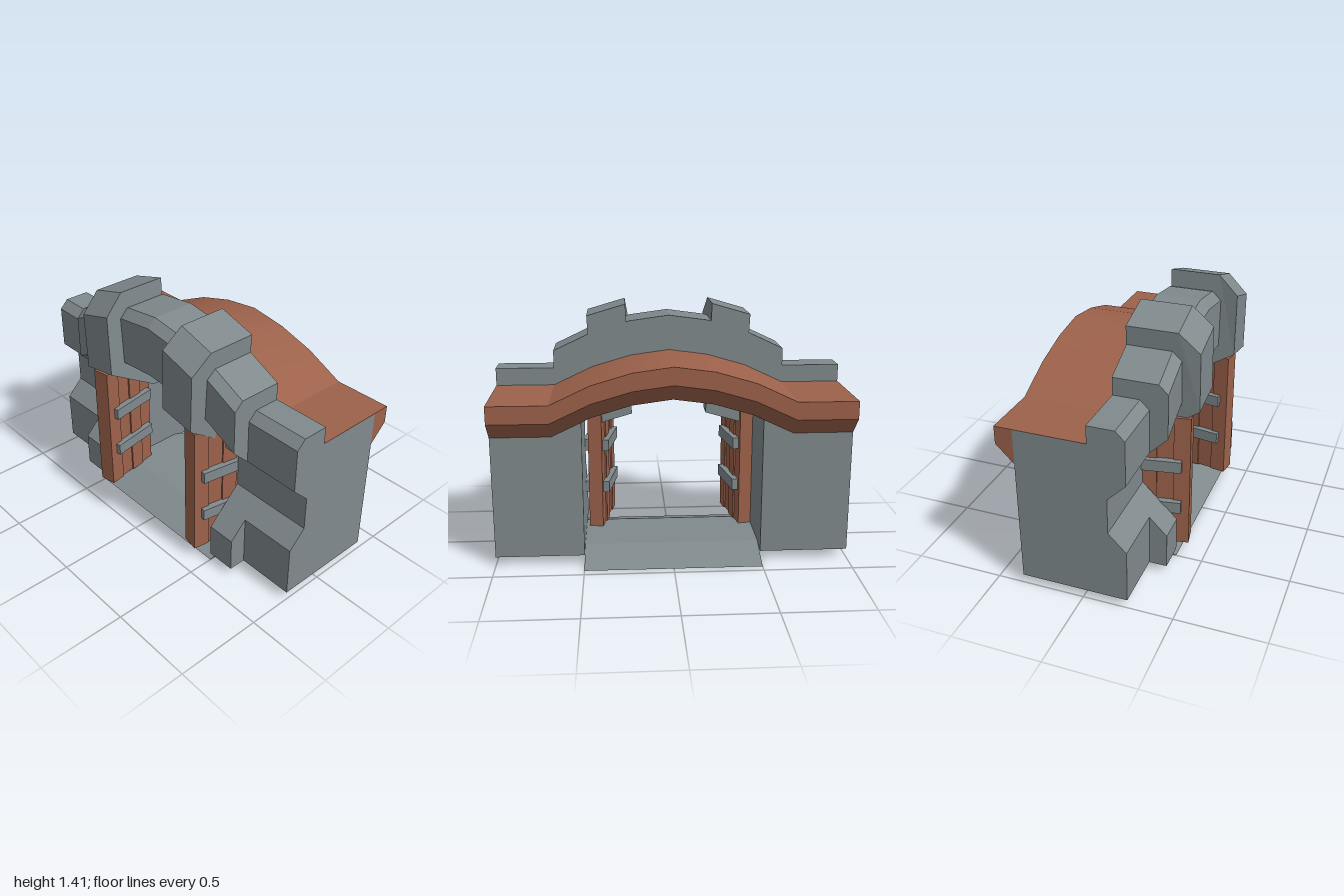
import * as THREE from 'three';
import { toCreasedNormals } from 'three/addons/utils/BufferGeometryUtils.js';

const stone = new THREE.MeshStandardMaterial({ color: 0x808a8d });
stone.name = 'grey stone';
const wood = new THREE.MeshStandardMaterial({ color: 0x9d624b });
wood.name = 'red brown wood';

// Skin closed sections ([x, y, z] points) ordered by rising x, with end caps
function loft(sections, crease = 0.1) {
  const flat = sections[0].map(([, y, z]) => new THREE.Vector2(z, y));
  if (THREE.ShapeUtils.area(flat) < 0) {
    sections = sections.map((s) => [...s].reverse());
    flat.reverse();
  }
  const pos = [];
  const tri = (...pts) => pts.forEach((p) => pos.push(...p));
  for (let i = 0; i < sections.length - 1; i++) {
    const s = sections[i], t = sections[i + 1];
    for (let j = 0; j < s.length; j++) {
      const k = (j + 1) % s.length;
      tri(s[j], t[j], t[k]);
      tri(s[j], t[k], s[k]);
    }
  }
  const first = sections[0], last = sections[sections.length - 1];
  for (const [a, b, c] of THREE.ShapeUtils.triangulateShape(flat, [])) {
    tri(first[a], first[b], first[c]);
    tri(last[c], last[b], last[a]);
  }
  const g = new THREE.BufferGeometry();
  g.setAttribute('position', new THREE.Float32BufferAttribute(pos, 3));
  return toCreasedNormals(g, crease);
}

// Straight run of a [z, y] profile between two x values
const run = (profile, xs) => loft(xs.map((x) => profile.map(([z, y]) => [x, y, z])));

export function createModel() {
  const model = new THREE.Group();
  model.name = 'gatehouse';
  const add = (name, geometry, material, parent = model) => {
    const m = new THREE.Mesh(geometry, material);
    m.name = name;
    parent.add(m);
    return m;
  };

  // Side pillars: outer block and an inner block with a deeper foot
  const upper = [[0.15, 0.45], [0.15, 0.65], [0.25, 0.75], [0.25, 1.0], [0.2, 1.05],
    [0.05, 1.05], [0.05, 0.948], [-0.35, 0.948], [-0.35, 0.05]];
  for (const s of [-1, 1]) {
    const side = s > 0 ? 'left' : 'right';
    const span = (a, b) => [s * a, s * b].sort((p, q) => p - q);
    add(side + 'OuterPillar', run([[0.25, 0.05], [0.25, 0.35], ...upper], span(0.667, 1)), stone);
    add(side + 'InnerPillar', run([[0.35, 0.05], [0.35, 0.25], ...upper], span(0.5, 0.667)), stone);
  }

  // Arch stations: x, crown height, lower edge of the front face
  const half = [[0, 1.35, 1.012], [0.222, 1.32, 0.995], [0.444, 1.255, 0.955], [0.667, 1.15, 0.85]];
  const stations = [...half.slice(1).reverse().map(([x, t, f]) => [-x, t, f]), ...half];
  add('arch', loft(stations.map(([x, t, f]) => [
    [x, t, 0.05], [x, t, 0.3], [x, t - 0.05, 0.35], [x, f, 0.35], [x, t - 0.5, 0.15],
    [x, t - 0.4, -0.35], [x, t - 0.202, -0.35], [x, t - 0.202, 0.05],
  ])), stone);

  // Raised ribs on the arch, leaning with its slope
  const rib = (x, t, f) => [
    [x + 0.028, t + 0.095, 0.05], [x + 0.028, t + 0.095, 0.333], [x + 0.011, t - 0.012, 0.447],
    [x, f - 0.045, 0.447], [x - 0.004, t - 0.55, 0.15], [x - 0.004, t - 0.55, 0.05],
  ];
  for (const s of [-1, 1]) {
    const ends = [rib(...half[1]), rib(...half[2])]
      .map((sec) => sec.map(([x, y, z]) => [s * x, y, z]));
    if (s < 0) ends.reverse();
    add(s > 0 ? 'leftRib' : 'rightRib', loft(ends), stone);
  }

  // Roof skin following the arch, with a thick eave at the back
  const roofLine = [[-1, 0.95], ...stations.map(([x, t]) => [x, t - 0.2]), [1, 0.95]];
  add('roof', loft(roofLine.map(([x, r]) => [
    [x, r, 0.05], [x, r, -0.45], [x, r - 0.1, -0.45], [x, r - 0.2, -0.35],
    [x, r - 0.004, -0.35], [x, r - 0.004, 0.05],
  ]), 0.4), wood);

  // Threshold ramp
  add('threshold', run([[0.35, 0], [0.2, 0.05], [0.14, 0.07], [-0.24, 0.07], [-0.3, 0.05], [-0.45, 0]],
    [-0.5, 0.5]), stone);

  // Open door leaves: planks of alternating thickness with bars on both faces
  for (const [s, x] of [[-1, 0.403], [1, 0.378]]) {
    const door = new THREE.Group();
    door.name = s > 0 ? 'leftDoor' : 'rightDoor';
    door.position.set(s * x, 0, 0.397);
    door.rotation.y = -s * 0.17;
    for (let i = 0; i < 4; i++) {
      const plank = new THREE.BoxGeometry(i % 2 ? 0.082 : 0.1, 0.795, 0.092);
      add('plank', plank, wood, door).position.set(0, 0.4675, -0.046 - i * 0.092);
    }
    for (const y of [0.315, 0.575]) {
      for (const face of [-1, 1]) {
        add('doorBar', new THREE.BoxGeometry(0.036, 0.068, 0.3), stone, door)
          .position.set(face * 0.06, y, -0.195);
      }
    }
    model.add(door);
  }
  return model;
}
